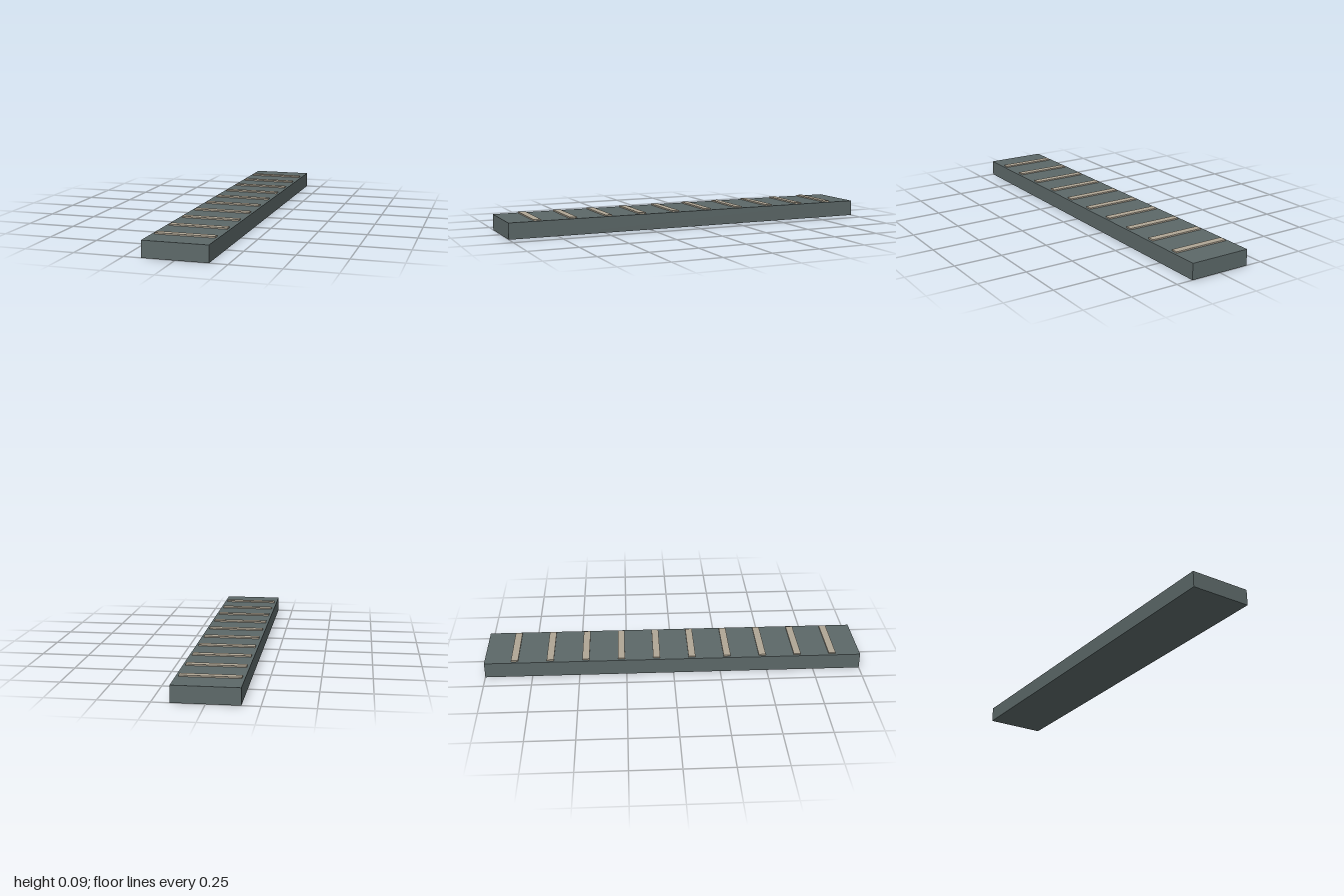
import * as THREE from 'three';

export function createModel() {
  const model = new THREE.Group();
  model.name = 'cleatedRamp';

  const slate = new THREE.MeshStandardMaterial({ color: 0x5c6868 });
  slate.name = 'slate grey';
  const tan = new THREE.MeshStandardMaterial({ color: 0xb0a695 });
  tan.name = 'pale tan';

  // Long flat deck
  const deckHeight = 0.083;
  const deck = new THREE.Mesh(new THREE.BoxGeometry(0.324, deckHeight, 2), slate);
  deck.name = 'deck';
  deck.position.y = deckHeight / 2;
  model.add(deck);

  // Ten evenly spaced cross cleats, slightly sunk into the deck
  const count = 10;
  const spacing = 0.188;
  const cleatGeometry = new THREE.BoxGeometry(0.296, 0.012, 0.037);
  for (let i = 0; i < count; i++) {
    const cleat = new THREE.Mesh(cleatGeometry, tan);
    cleat.name = `cleat${i + 1}`;
    cleat.position.set(0, 0.084, (i - (count - 1) / 2) * spacing + 0.005);
    model.add(cleat);
  }

  return model;
}
